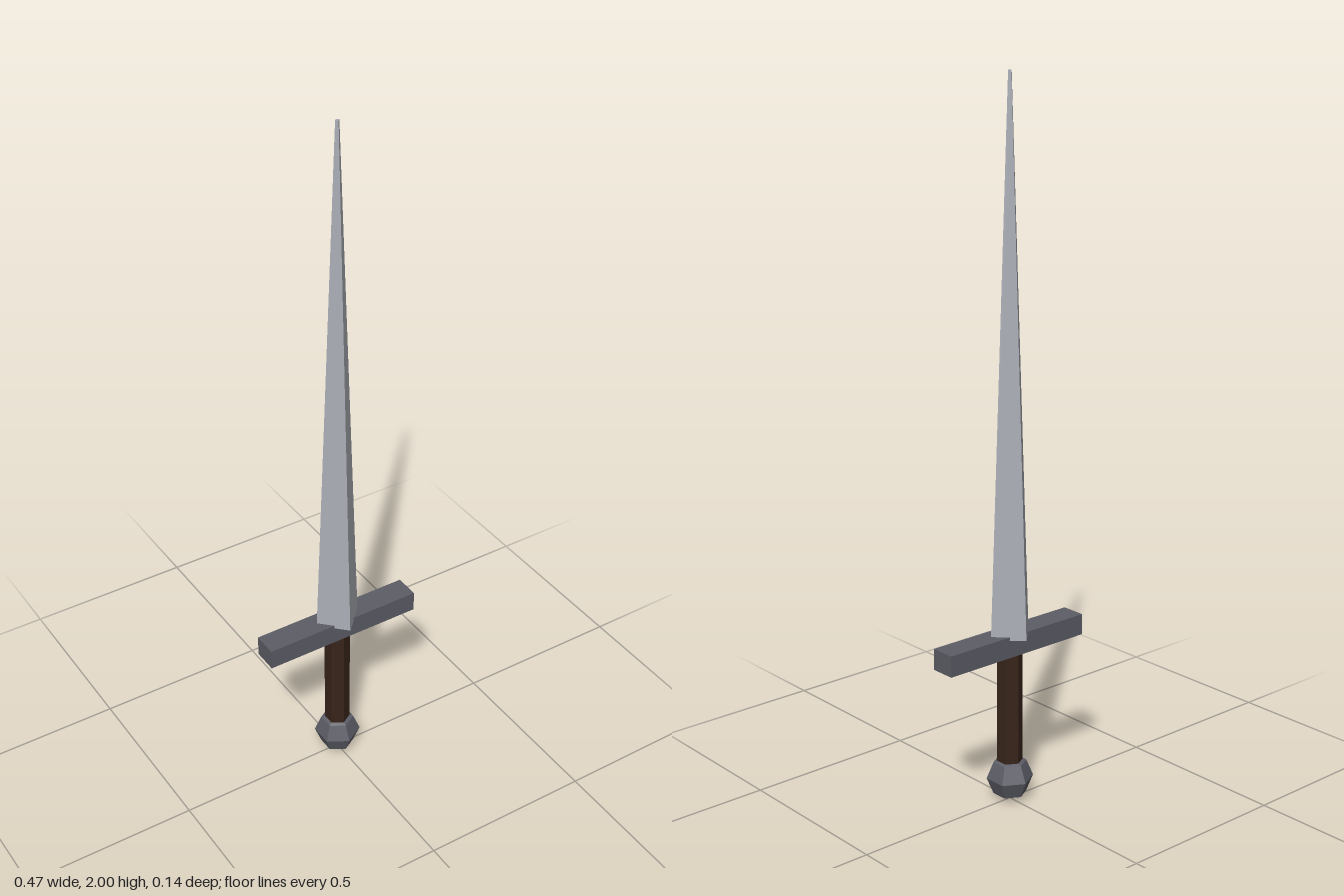
import * as THREE from 'three';

const paint = (color) => new THREE.MeshStandardMaterial({ color, flatShading: true });

export function createModel() {
  const sword = new THREE.Group();
  sword.name = 'sword';

  const steel = paint(0xaaaeb5);
  const iron = paint(0x5c5d66);
  const leather = paint(0x38241a);

  const add = (name, geometry, material, y) => {
    const mesh = new THREE.Mesh(geometry, material);
    mesh.name = name;
    mesh.position.y = y;
    sword.add(mesh);
  };

  // Tapering four-sided blade with a tiny blunt tip
  const bladeBase = 0.49, bladeTip = 2;
  add('blade', new THREE.CylinderGeometry(0.006, 0.068, bladeTip - bladeBase, 4),
    steel, (bladeBase + bladeTip) / 2);

  // Straight crossguard
  add('crossguard', new THREE.BoxGeometry(0.474, 0.06, 0.072), iron, 0.469);

  // Six-sided grip, corners to front and back
  add('grip', new THREE.CylinderGeometry(0.036, 0.036, 0.36, 6), leather, 0.27);

  // Faceted pommel, turned to line up with the grip
  const r = 0.066;
  add('pommel', new THREE.SphereGeometry(r, 6, 4).rotateY(Math.PI / 6), iron, r);

  return sword;
}
